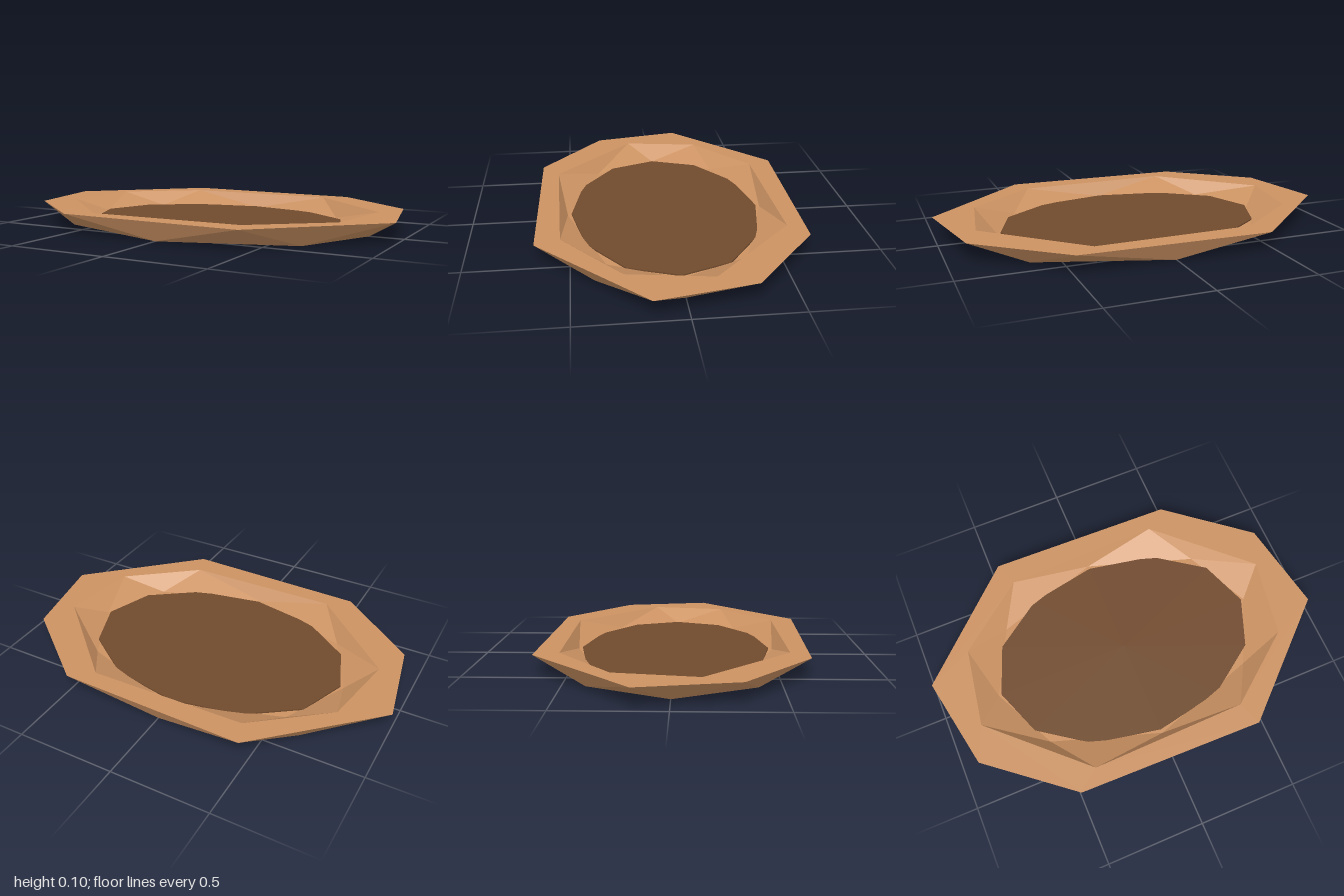
import * as THREE from 'three';

const RIM_Y = 0.1, FLOOR_Y = 0.025;

// Eight-sided rings as [x, z], running from +x towards +z
const half = (pts) => [...pts, ...pts.map(([x, z]) => [-x, -z])];
const at = (pts, y, s = 1) => pts.map(([x, z]) => [x * s, y, z * s]);

const foot = half([[0.83, 0], [0.64, 0.39], [0, 0.6], [-0.64, 0.39]]);
const outerRim = at(half([[1, 0.16], [0.46, 0.665], [-0.495, 0.645], [-0.91, 0.31]]), RIM_Y);
const innerRim = at(half([[0.77, 0.265], [0.415, 0.543], [-0.385, 0.558], [-0.835, 0.135]]), RIM_Y);
const base = at(foot, 0);
const floor = at(foot, FLOOR_Y, 0.85);

// Band of triangles between a lower ring and an upper ring turned half a step
function wall(low, high, inward) {
  const tris = [];
  for (let k = 0; k < 8; k++) {
    const n = (k + 1) % 8;
    for (const t of [[low[n], low[k], high[k]], [low[n], high[k], high[n]]])
      tris.push(inward ? t.reverse() : t);
  }
  return tris;
}

// Flat ring between two outlines, facing up
function flatRing(outer, inner) {
  return outer.flatMap((p, k) => {
    const n = (k + 1) % 8;
    return [[p, inner[k], inner[n]], [p, inner[n], outer[n]]];
  });
}

// Closed polygon filled from its centre
function cap(ring, y, up) {
  return ring.map((p, k) => {
    const q = ring[(k + 1) % 8];
    return up ? [[0, y, 0], q, p] : [[0, y, 0], p, q];
  });
}

function facets(name, tris, material) {
  const geo = new THREE.BufferGeometry();
  geo.setAttribute('position', new THREE.Float32BufferAttribute(tris.flat(2), 3));
  geo.computeVertexNormals();
  const mesh = new THREE.Mesh(geo, material);
  mesh.name = name;
  return mesh;
}

export function createModel() {
  const wood = new THREE.MeshStandardMaterial({ color: 0xcb9262, flatShading: true });
  wood.name = 'light wood';
  const dark = new THREE.MeshStandardMaterial({ color: 0x704a2d, flatShading: true });
  dark.name = 'dark brown';

  const group = new THREE.Group();
  group.name = 'shallowDish';
  group.add(
    facets('outerWall', wall(base, outerRim, false), wood),
    facets('underside', cap(base, 0, false), wood),
    facets('rim', flatRing(outerRim, innerRim), wood),
    facets('innerWall', wall(floor, innerRim, true), wood),
    facets('floor', cap(floor, FLOOR_Y, true), wood),
  );

  // Thin twelve-sided filling resting on the floor
  const filling = new THREE.Mesh(new THREE.CylinderGeometry(1, 1, 0.007, 12), dark);
  filling.name = 'filling';
  filling.scale.set(0.69, 1, 0.49);
  filling.position.y = 0.0295;
  group.add(filling);
  return group;
}
